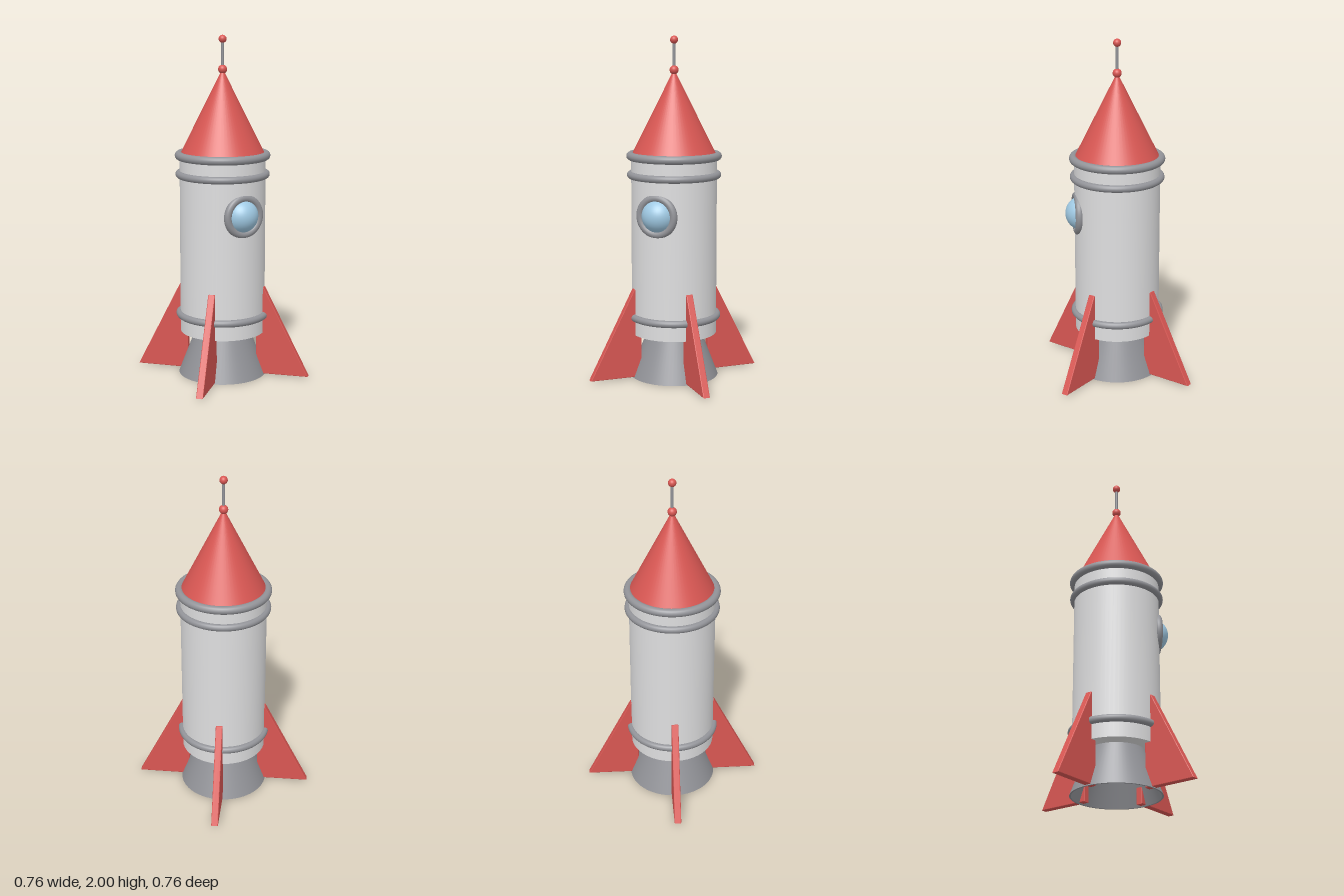
import * as THREE from 'three';

export function createModel() {
  const model = new THREE.Group();
  model.name = 'rocket';

  const material = (name, color, side = THREE.FrontSide) =>
    Object.assign(new THREE.MeshStandardMaterial({ color, side }), { name });
  const white = material('hull white', 0xdededf);
  const red = material('rocket red', 0xd95753);
  const grey = material('trim grey', 0x929398);
  const blue = material('window blue', 0xa0cae4);

  const add = (name, geometry, mat, x = 0, y = 0, z = 0) => {
    const mesh = new THREE.Mesh(geometry, mat);
    mesh.name = name;
    mesh.position.set(x, y, z);
    model.add(mesh);
    return mesh;
  };

  // Hull and nose cone
  add('hull', new THREE.CylinderGeometry(0.25, 0.25, 1.05, 64), white, 0, 0.785, 0);
  add('noseCone', new THREE.ConeGeometry(0.25, 0.5, 64), red, 0, 1.56, 0);

  // Bands around the hull
  for (const [name, y, tube] of [['upperBand', 1.31, 0.024], ['shoulderBand', 1.2, 0.021], ['lowerBand', 0.365, 0.021]]) {
    add(name, new THREE.TorusGeometry(0.254, tube, 16, 72), grey, 0, y, 0).rotation.x = Math.PI / 2;
  }

  // Antenna with a ball at each end
  add('antennaRod', new THREE.CylinderGeometry(0.008, 0.008, 0.17, 16), grey, 0, 1.89, 0);
  add('antennaBase', new THREE.SphereGeometry(0.026, 24, 16), red, 0, 1.805, 0);
  add('antennaTip', new THREE.SphereGeometry(0.023, 24, 16), red, 0, 1.977, 0);

  // Hollow nozzle: outer wall, inner wall and the rim between them
  add('nozzleOuter', new THREE.CylinderGeometry(0.16, 0.26, 0.26, 64, 1, true), grey, 0, 0.13, 0);
  const inner = new THREE.CylinderGeometry(0.15, 0.25, 0.26, 64, 1, true);
  inner.scale(-1, 1, 1); // mirrored so the faces look inwards
  inner.computeVertexNormals();
  add('nozzleInner', inner, grey, 0, 0.13, 0);
  add('nozzleRim', new THREE.RingGeometry(0.25, 0.26, 64), grey).rotation.x = Math.PI / 2;

  // Porthole on the front
  add('portholeFrame', new THREE.TorusGeometry(0.105, 0.022, 16, 56), grey, 0, 0.985, 0.236);
  add('portholeGlass', new THREE.SphereGeometry(0.1, 40, 24), blue, 0, 0.985, 0.205);

  // Four bevelled fins on the diagonals
  const bevel = 0.004;
  const profile = new THREE.Shape([
    [0.214, 0.01], [0.518, 0.01], [0.252, 0.531], [0.214, 0.531],
  ].map(([r, y]) => new THREE.Vector2(r, y)));
  const finGeometry = new THREE.ExtrudeGeometry(profile, {
    depth: 0.04 - 2 * bevel, bevelSize: bevel, bevelThickness: bevel, bevelSegments: 2,
  });
  finGeometry.translate(0, 0, -0.02 + bevel);
  ['frontLeftFin', 'backLeftFin', 'backRightFin', 'frontRightFin'].forEach((name, i) => {
    add(name, finGeometry, red).rotation.y = -Math.PI / 4 + i * Math.PI / 2;
  });

  return model;
}
